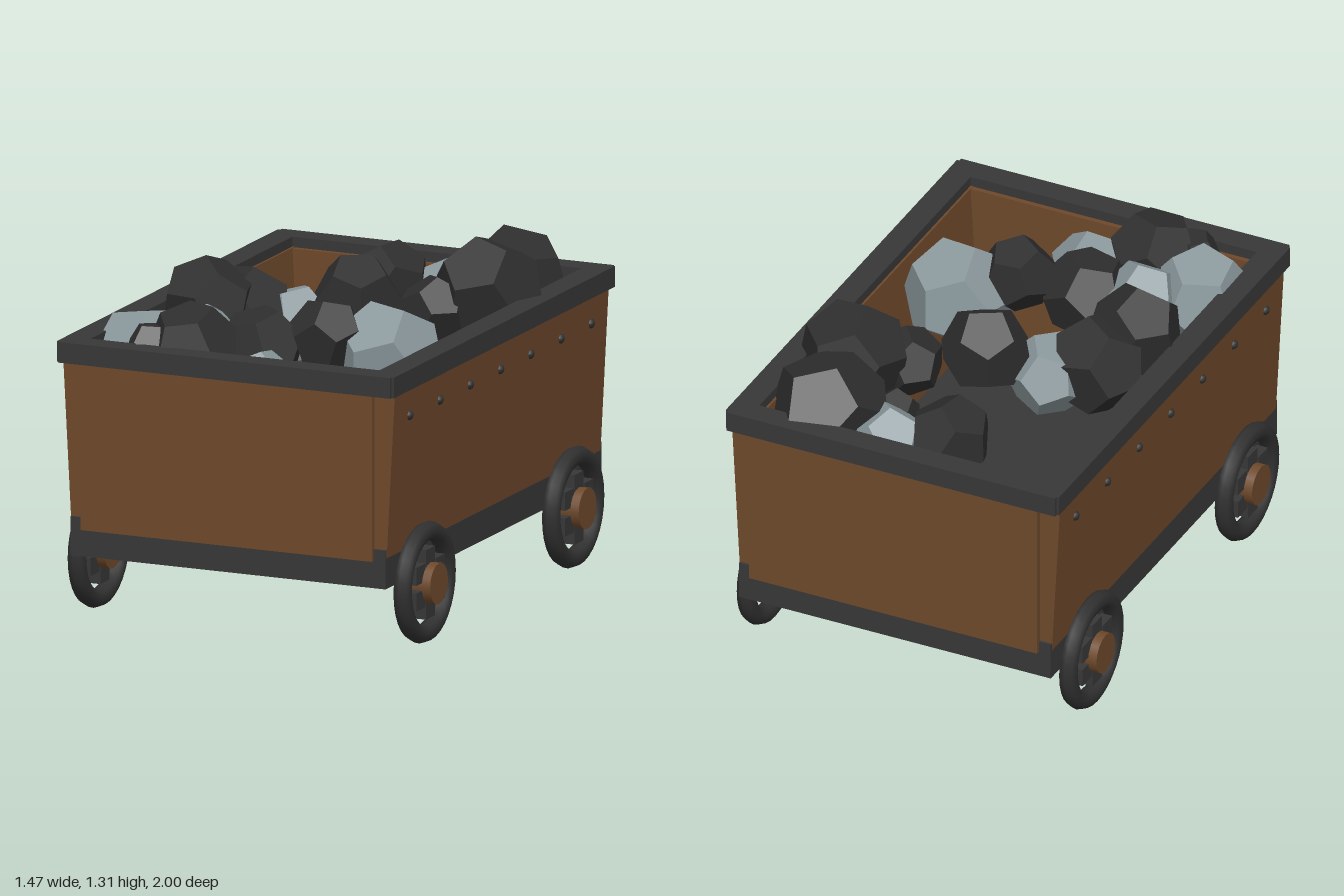
import * as THREE from 'three';

const paint = (name, color) => {
  const m = new THREE.MeshStandardMaterial({ color });
  m.name = name;
  return m;
};

export function createModel() {
  const cart = new THREE.Group();
  cart.name = 'mineCart';
  const wood = paint('brown wood', 0x6e492b);
  const iron = paint('dark iron', 0x373737);
  const tyre = paint('black iron', 0x303030);
  const coal = paint('coal', 0x2e2e2e);
  const ore = paint('pale ore', 0x8a989c);

  const add = (parent, name, geo, mat, x, y, z) => {
    const m = new THREE.Mesh(geo, mat);
    m.name = name;
    m.position.set(x, y, z);
    parent.add(m);
    return m;
  };
  const box = (name, w, h, d, mat, x, y, z, parent = cart) =>
    add(parent, name, new THREE.BoxGeometry(w, h, d), mat, x, y, z);

  // Chassis slab, which is also the floor
  box('chassis', 1.31, 0.15, 1.93, iron, 0, 0.345, 0);

  const boltGeo = new THREE.SphereGeometry(0.02, 10, 8);
  for (const s of [-1, 1]) {
    // Outward-leaning long walls and upright end walls
    box('sideWall', 0.1, 0.7, 1.91, wood, s * 0.622, 0.71, 0).rotation.z = -s * 0.053;
    box('endWall', 1.21, 0.685, 0.1, wood, 0, 0.7175, s * 0.93);

    // Rim rails
    box('sideRim', 0.1, 0.08, 1.97, iron, s * 0.65, 1.06, 0);
    box('endRim', 1.38, 0.08, 0.1, iron, 0, 1.06, s * 0.95);

    // Row of bolts
    for (let i = -3; i <= 3; i++) add(cart, 'bolt', boltGeo, tyre, s * 0.678, 0.915, i * 0.27);

    // Wheels: ring, six block spokes and a wooden hub
    for (const e of [-1, 1]) {
      const wheel = new THREE.Group();
      wheel.name = 'wheel';
      wheel.position.set(s * 0.677, 0.235, e * 0.663);
      add(wheel, 'tyreRing', new THREE.TorusGeometry(0.196, 0.037, 8, 32), tyre, 0, 0, 0).rotation.y = Math.PI / 2;
      add(wheel, 'hub', new THREE.CylinderGeometry(0.08, 0.08, 0.12, 16), wood, 0, 0, 0).rotation.z = Math.PI / 2;
      for (let i = 0; i < 6; i++) {
        const a = Math.PI / 6 + i * Math.PI / 3;
        box('spoke', 0.05, 0.07, 0.08, iron, 0, 0.1 * Math.sin(a), 0.1 * Math.cos(a), wheel);
      }
      cart.add(wheel);
    }
  }

  // Heaped lumps: x, z, radius, top height
  const coalLumps = [
    [-0.09, -0.67, 0.165, 1.18], [0.39, -0.73, 0.235, 1.265], [0.44, -0.42, 0.215, 1.305],
    [0.28, -0.28, 0.14, 1.17], [0.2, -0.56, 0.1, 1.08], [0.02, -0.15, 0.175, 1.255],
    [-0.36, 0.04, 0.2, 1.21], [-0.44, 0.2, 0.185, 1.275], [0.15, 0.4, 0.15, 1.22],
    [-0.09, 0.48, 0.175, 1.18], [-0.24, 0.76, 0.18, 1.24], [-0.38, 0.82, 0.1, 1.17],
  ];
  const oreLumps = [
    [0.14, -0.74, 0.16, 1.12], [-0.2, -0.05, 0.165, 1.14], [0.35, 0.3, 0.22, 1.2],
    [-0.31, 0.52, 0.155, 1.17], [-0.48, 0.67, 0.2, 1.19], [0.03, 0.74, 0.15, 1.08],
  ];
  let turn = 1;
  const heap = (lumps, name, mat) => lumps.forEach(([x, z, r, top]) => {
    const lump = add(cart, name, new THREE.DodecahedronGeometry(r), mat, x, top - r * 0.93, z);
    lump.rotation.set(turn * 1.3, turn * 2.1, turn * 0.7);
    turn++;
  });
  heap(coalLumps, 'coalLump', coal);
  heap(oreLumps, 'oreLump', ore);

  return cart;
}
